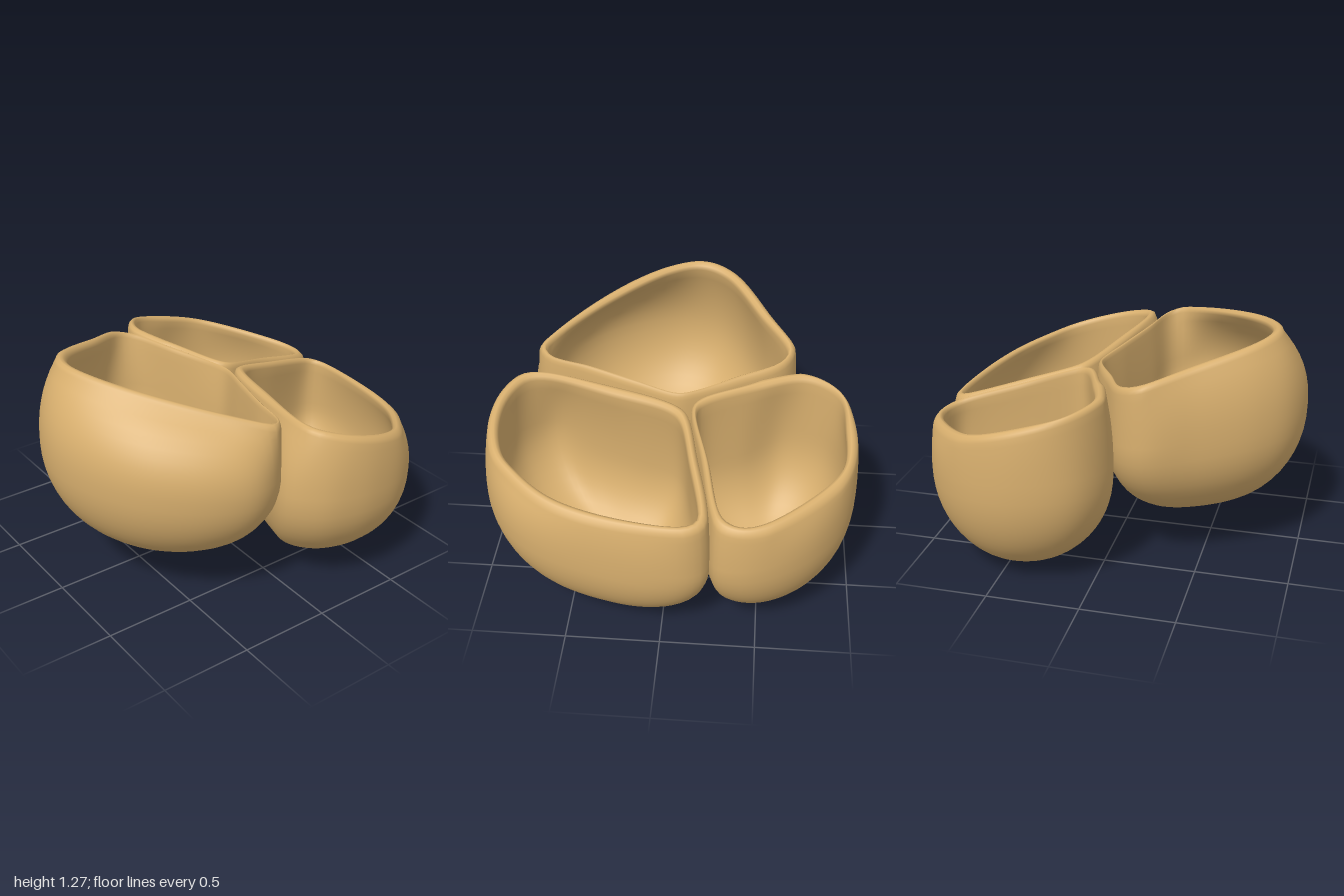
import * as THREE from 'three';

const SEG = 120;
const LIP = 0.065;   // lip width
const FULL = 2 / 2.12; // fullness of the bowls: 1 is an ellipse, less is boxier
const rimY = (x) => 1.03 - 0.285 * x; // the sloping plane that cuts all rims
const mix = (a, b, t) => a + (b - a) * t;

// Smooth closed outline through [x, z] points, as radii at equal angles round a centre
function radii(points, [cx, cz]) {
  const curve = new THREE.CatmullRomCurve3(points.map(([x, z]) => new THREE.Vector3(x, 0, z)), true);
  const pts = curve.getPoints(360);
  return Array.from({ length: SEG }, (_, i) => {
    const a = (i / SEG) * Math.PI * 2, dx = Math.cos(a), dz = Math.sin(a);
    let best = 0;
    for (let k = 0; k < pts.length - 1; k++) {
      const px = pts[k].x - cx, pz = pts[k].z - cz;
      const qx = pts[k + 1].x - cx, qz = pts[k + 1].z - cz;
      const s = px * dz - pz * dx, t = qx * dz - qz * dx; // signed distance from the ray
      if (s === t || s * t > 0) continue;
      const f = s / (s - t);
      best = Math.max(best, (px + (qx - px) * f) * dx + (pz + (qz - pz) * f) * dz);
    }
    return best;
  });
}

// Rounds off the corners of an outline by averaging neighbouring radii
function soften(r, reach = 7, passes = 2) {
  for (let p = 0; p < passes; p++) {
    r = r.map((_, i) => {
      let sum = 0;
      for (let k = -reach; k <= reach; k++) sum += r[(i + k + SEG) % SEG];
      return sum / (2 * reach + 1);
    });
  }
  return r;
}

const toPoints = (r, [cx, cz]) => r.map((v, i) => {
  const a = (i / SEG) * Math.PI * 2;
  return [cx + Math.cos(a) * v, cz + Math.sin(a) * v];
});

// Thick-walled cup: outer pole, belly, rolled lip, inner wall, inner pole
function cupGeometry({ centre, pole, bellyY, belly, opening }) {
  const bellyR = radii(belly, centre);
  const B = toPoints(bellyR, centre), S = toPoints(soften(bellyR), centre);
  const O = toPoints(radii(opening, centre), centre);
  const [px, py, pz] = pole;
  const columns = B.map(([bx, bz], i) => {
    const [ox, oz] = O[i], [sx, sz] = S[i];
    const yb = bellyY[0] + bellyY[1] * bx + bellyY[2] * bz;
    const col = [];
    // outer edge of the lip: a fixed width, but never beyond the belly
    const gap = Math.hypot(bx - ox, bz - oz);
    const edge = Math.min(0.8, LIP / Math.max(gap, 0.01));
    const rx = mix(ox, bx, edge), rz = mix(oz, bz, edge);
    // one point of a bowl: u = 0 at its pole, 1 at its belly; corners fade towards the pole
    const bowl = (u, scale, floor) => {
      const s = Math.pow(Math.sin(u * Math.PI / 2), FULL) * scale;
      const c = u === 1 ? 0 : Math.pow(Math.cos(u * Math.PI / 2), FULL);
      return [mix(px, mix(sx, bx, u), s), yb - (yb - floor) * c, mix(pz, mix(sz, bz, u), s)];
    };
    // outer bowl from the lowest point to the belly
    for (let k = 0; k <= 16; k++) col.push(bowl(k / 16, 1, py));
    // shoulder from the belly to the lip
    const top = rimY(rx) - 0.035;
    for (let k = 1; k <= 8; k++) {
      const t = k / 8, w = Math.pow(t, 2.4);
      col.push([mix(bx, rx, w), mix(yb, top, t), mix(bz, rz, w)]);
    }
    // rolled lip
    for (const [t, drop] of [[0.12, 0.016], [0.38, 0.003], [0.62, 0], [0.88, 0.009], [1, 0.03]]) {
      const x = mix(rx, ox, t);
      col.push([x, rimY(x) - drop, mix(rz, oz, t)]);
    }
    // inner wall down to the inner belly
    const [ix, , iz] = bowl(1, 0.9, py), inTop = rimY(ox) - 0.03;
    for (let k = 1; k <= 6; k++) {
      const t = k / 6, w = 1 - Math.pow(1 - t, 1.8);
      col.push([mix(ox, ix, w), mix(inTop, yb, t), mix(oz, iz, w)]);
    }
    // inner floor
    for (let k = 13; k >= 0; k--) col.push(bowl(k / 14, 0.9, py + 0.07));
    return col;
  });
  const n = columns[0].length, index = [];
  for (let i = 0; i < SEG; i++) {
    for (let j = 0; j < n - 1; j++) {
      const a = i * n + j, b = ((i + 1) % SEG) * n + j;
      if (j > 0) index.push(a, a + 1, b);
      if (j < n - 2) index.push(a + 1, b + 1, b);
    }
  }
  const g = new THREE.BufferGeometry();
  g.setAttribute('position', new THREE.Float32BufferAttribute(columns.flat(2), 3));
  g.setIndex(index);
  g.computeVertexNormals();
  return g;
}

const cups = {
  largeCup: {
    centre: [-0.35, 0.05], pole: [-0.39, 0.2, 0.07], bellyY: [0.7, -0.1, 0],
    belly: [[-1, 0], [-0.94, -0.24], [-0.8, -0.395], [-0.5, -0.565], [-0.25, -0.67], [-0.1, -0.61], [0.03, -0.37],
      [0.13, -0.13], [0.155, -0.03], [0.09, 0.2], [-0.01, 0.5], [-0.08, 0.72], [-0.2, 0.8], [-0.33, 0.82],
      [-0.55, 0.74], [-0.79, 0.545], [-0.945, 0.28]],
    opening: [[-0.8, -0.1], [-0.73, -0.25], [-0.45, -0.45], [-0.2, -0.61], [-0.12, -0.57], [-0.01, -0.34],
      [0.11, -0.09], [0.12, -0.02], [0.05, 0.2], [-0.03, 0.45], [-0.09, 0.68], [-0.15, 0.72], [-0.25, 0.66],
      [-0.5, 0.42], [-0.75, 0.08]],
  },
  frontCup: {
    centre: [0.5, 0.35], pole: [0.55, 0, 0.18], bellyY: [0.5, -0.06, 0.11],
    belly: [[-0.09, 0.72], [-0.06, 0.82], [0.05, 0.93], [0.2, 0.98], [0.35, 0.99], [0.55, 0.95], [0.75, 0.82],
      [0.88, 0.63], [0.97, 0.3], [1, 0], [0.98, -0.15], [0.93, -0.23], [0.86, -0.25], [0.5, -0.17],
      [0.23, -0.1], [0.16, -0.04], [0.08, 0.22], [-0.01, 0.5]],
    opening: [[0.06, 0.7], [0.08, 0.8], [0.2, 0.88], [0.37, 0.9], [0.55, 0.85], [0.66, 0.75], [0.8, 0.55],
      [0.9, 0.2], [0.92, -0.13], [0.88, -0.18], [0.82, -0.18], [0.56, -0.12], [0.3, -0.05], [0.24, 0.01],
      [0.15, 0.33]],
  },
  backCup: {
    centre: [0.45, -0.52], pole: [0.47, 0.02, -0.53], bellyY: [0.5, -0.08, -0.14],
    belly: [[-0.08, -0.6], [-0.06, -0.75], [0.02, -0.88], [0.15, -0.96], [0.37, -1], [0.6, -0.95], [0.8, -0.8],
      [0.93, -0.6], [0.975, -0.42], [0.94, -0.28], [0.84, -0.235], [0.5, -0.165], [0.2, -0.1], [0.135, -0.14],
      [0.03, -0.38]],
    opening: [[0, -0.7], [0.04, -0.82], [0.12, -0.9], [0.3, -0.92], [0.52, -0.91], [0.65, -0.82], [0.88, -0.52],
      [0.91, -0.4], [0.86, -0.31], [0.54, -0.22], [0.23, -0.14], [0.18, -0.18], [0.07, -0.45]],
  },
};

export function createModel() {
  const group = new THREE.Group();
  group.name = 'tripleCup';
  const clay = new THREE.MeshStandardMaterial({ color: 0xd8af6e });
  clay.name = 'tan clay';
  for (const [name, spec] of Object.entries(cups)) {
    const mesh = new THREE.Mesh(cupGeometry(spec), clay);
    mesh.name = name;
    group.add(mesh);
  }
  return group;
}
